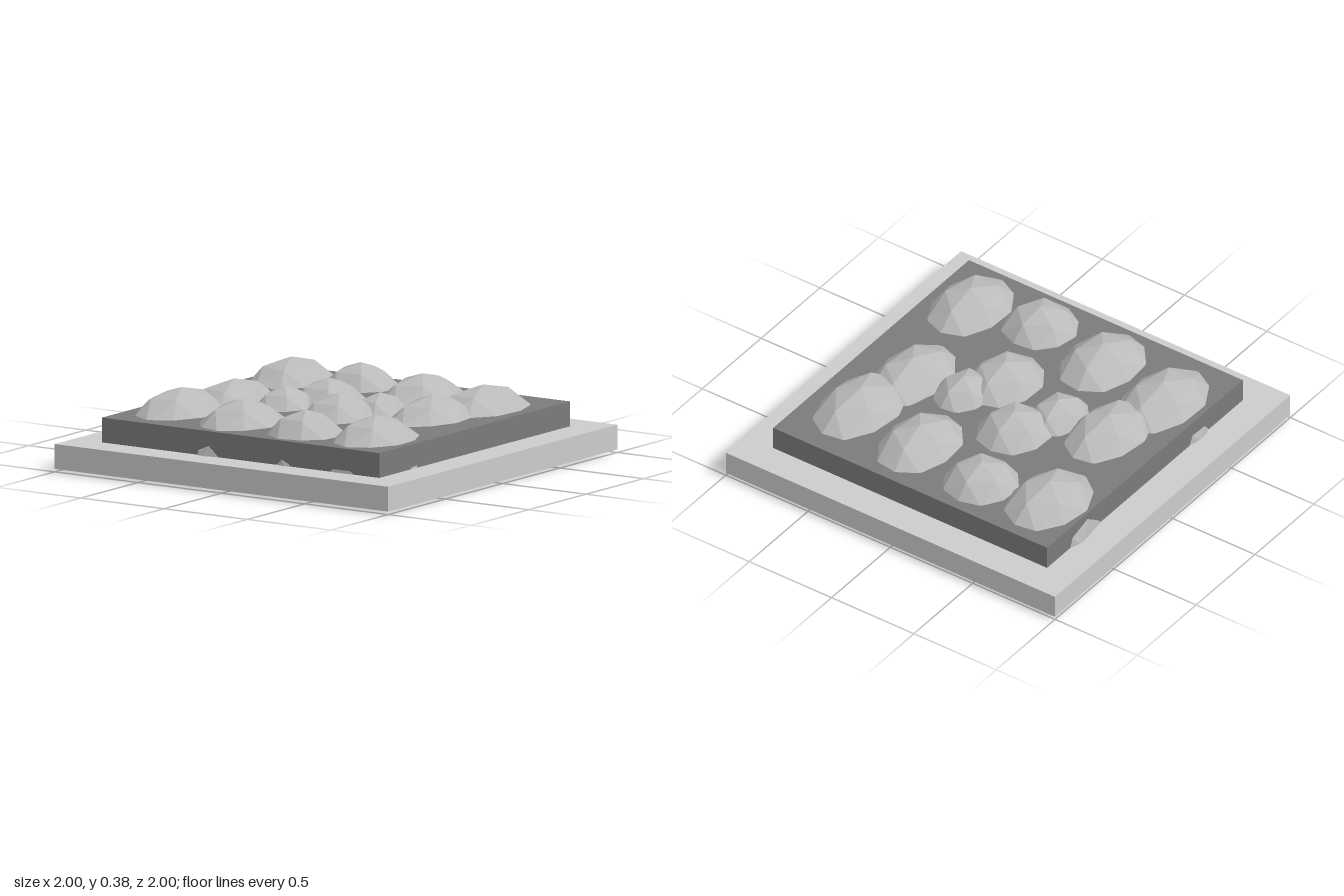
import * as THREE from 'three';

const baseMat = new THREE.MeshStandardMaterial({ color: 0xcccccc });
const bedMat = new THREE.MeshStandardMaterial({ color: 0x7b7b7b });
const stoneMat = new THREE.MeshStandardMaterial({ color: 0xbababa, flatShading: true });

// Square slab between two heights
function slab(name, size, y0, y1, material) {
  const mesh = new THREE.Mesh(new THREE.BoxGeometry(size, y1 - y0, size), material);
  mesh.position.y = (y0 + y1) / 2;
  mesh.name = name;
  return mesh;
}

// Low-poly stone with a pole on top and a flattened, slightly hollow underside
function stoneGeometry(rx, rz, top, turn) {
  const centre = 0.115;
  const geo = new THREE.IcosahedronGeometry(1, 1);
  geo.rotateZ(-Math.atan(2 / (1 + Math.sqrt(5))));
  geo.rotateY(turn);
  const p = geo.attributes.position;
  for (let i = 0; i < p.count; i++) {
    const y = p.getY(i);
    let h = centre + y * (top - centre);
    if (y < -0.6) h = 0.03;
    else if (y < -0.5) h = 0;
    else if (y < -0.4) h = 0.018;
    p.setXYZ(i, p.getX(i) * rx, h, p.getZ(i) * rz);
  }
  geo.computeVertexNormals();
  return geo;
}

// Extent of each stone where it leaves the bed: x0, x1, z0, z1, top height
const STONES = [
  [-0.82, -0.42, -0.79, -0.24, 0.385],
  [-0.45, -0.06, -0.79, -0.38, 0.385],
  [-0.03, 0.36, -0.79, -0.24, 0.385],
  [0.38, 0.78, -0.76, -0.12, 0.385],
  [-0.34, 0.04, -0.37, 0.06, 0.385],
  [-0.41, -0.11, -0.13, 0.26, 0.37],
  [0.08, 0.38, -0.24, 0.14, 0.37],
  [-0.07, 0.31, -0.10, 0.38, 0.385],
  [0.33, 0.70, -0.40, 0.22, 0.38],
  [-0.73, -0.35, -0.20, 0.41, 0.38],
  [-0.81, -0.41, 0.15, 0.78, 0.385],
  [-0.39, 0.01, 0.27, 0.81, 0.385],
  [0.04, 0.43, 0.40, 0.81, 0.385],
  [0.41, 0.80, 0.26, 0.805, 0.385],
];

export function createModel() {
  const model = new THREE.Group();
  model.name = 'cobblestoneTile';
  model.add(slab('baseSlab', 2, 0.015, 0.14, baseMat));
  model.add(slab('mortarBed', 1.664, 0.14, 0.265, bedMat));

  const stones = new THREE.Group();
  stones.name = 'stones';
  STONES.forEach(([x0, x1, z0, z1, top], i) => {
    const rx = (x1 - x0) / 2 / 0.82;
    const rz = (z1 - z0) / 2 / (z1 - z0 > 0.6 ? 0.87 : 0.84);
    // Alternate a few small turns so neighbours differ
    const turn = Math.PI / 2 + ((i % 3) - 1) * 0.15;
    const stone = new THREE.Mesh(stoneGeometry(rx, rz, top, turn), stoneMat);
    stone.position.set((x0 + x1) / 2, 0, (z0 + z1) / 2);
    stone.name = `stone${i + 1}`;
    stones.add(stone);
  });
  model.add(stones);
  return model;
}
